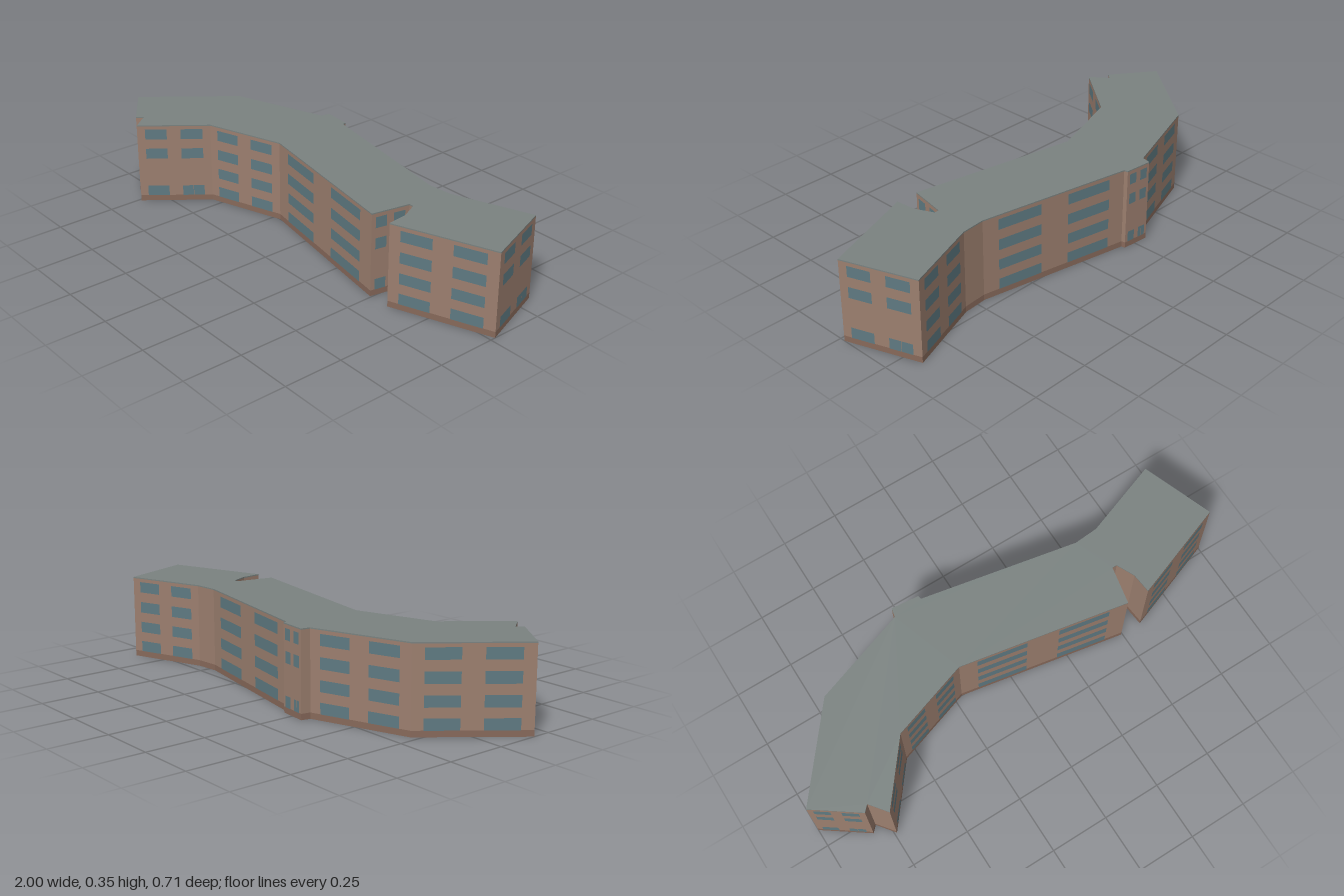
import * as THREE from 'three';
import { mergeGeometries } from 'three/addons/utils/BufferGeometryUtils.js';

// Footprint corners [x, z], running along the front towards +x and back behind
const FOOTPRINT = [
  [-1, 0.175], [-0.82, 0.305], [-0.796, 0.28], [-0.74, 0.353], [-0.548, 0.11],
  [-0.216, 0], [0.494, 0.13], [0.526, -0.03], [0.547, -0.03], [0.582, 0.045],
  [0.59, 0.13], [1, -0.022], [0.89, -0.326], [0.566, -0.208], [0.463, -0.2],
  [-0.192, -0.326], [-0.195, -0.342], [-0.3125, -0.353], [-0.32, -0.315], [-0.72, -0.176],
];
const HEIGHT = 0.355, PLINTH = 0.025, FASCIA = 0.35;
const FLOORS = [[0.025, 0.071], [0.2, 0.247], [0.29, 0.336], [0.112, 0.158]];
const COLUMNS = [[0.105, 0.4], [0.59, 0.89]];

const walls = FOOTPRINT.map((a, i) => {
  const b = FOOTPRINT[(i + 1) % FOOTPRINT.length];
  const dx = b[0] - a[0], dz = b[1] - a[1];
  return { a, dx, dz, length: Math.hypot(dx, dz) };
});

// Upright rectangle on a wall: t0..t1 along it, y0..y1 in height
function panel(wall, t0, t1, y0, y1, offset = 0) {
  const { a, dx, dz, length } = wall, t = (t0 + t1) / 2;
  return new THREE.PlaneGeometry((t1 - t0) * length, y1 - y0)
    .rotateY(Math.atan2(-dz, dx))
    .translate(a[0] + dx * t - (dz / length) * offset, (y0 + y1) / 2,
      a[1] + dz * t + (dx / length) * offset);
}

export function createModel() {
  const group = new THREE.Group();
  group.name = 'building';
  const add = (name, geometry, color, side = THREE.DoubleSide) => {
    const mesh = new THREE.Mesh(geometry, new THREE.MeshStandardMaterial({ color, side }));
    mesh.name = name;
    group.add(mesh);
  };
  const band = (y0, y1) => mergeGeometries(walls.map((w) => panel(w, 0, 1, y0, y1)));

  // Shell, open underneath
  add('plinth', band(0, PLINTH), 0x87695a);
  add('walls', band(PLINTH, FASCIA), 0x9c7f6f);
  add('roofEdge', band(FASCIA, HEIGHT), 0x7a8280);

  // Flat roof
  const outline = new THREE.Shape(FOOTPRINT.map(([x, z]) => new THREE.Vector2(x, -z)));
  add('roof', new THREE.ShapeGeometry(outline).rotateX(-Math.PI / 2).translate(0, HEIGHT, 0), 0x7a8280);

  // Two window columns per wall; short walls skip one floor and have a split ground window
  const panes = [];
  for (const wall of walls) {
    if (wall.length < 0.11) continue;
    const short = wall.length < 0.33;
    FLOORS.slice(0, short ? 3 : 4).forEach(([y0, y1], floor) => {
      COLUMNS.forEach(([t0, t1], column) => {
        const mid = (t0 + t1) / 2, gap = 0.001 / wall.length;
        const spans = short && floor === 0 && column === 1
          ? [[t0, mid - gap], [mid + gap, t1]] : [[t0, t1]];
        for (const [s0, s1] of spans) panes.push(panel(wall, s0, s1, y0, y1, 0.0015));
      });
    });
  }
  add('windows', mergeGeometries(panes), 0x5f7a82, THREE.FrontSide);
  return group;
}
